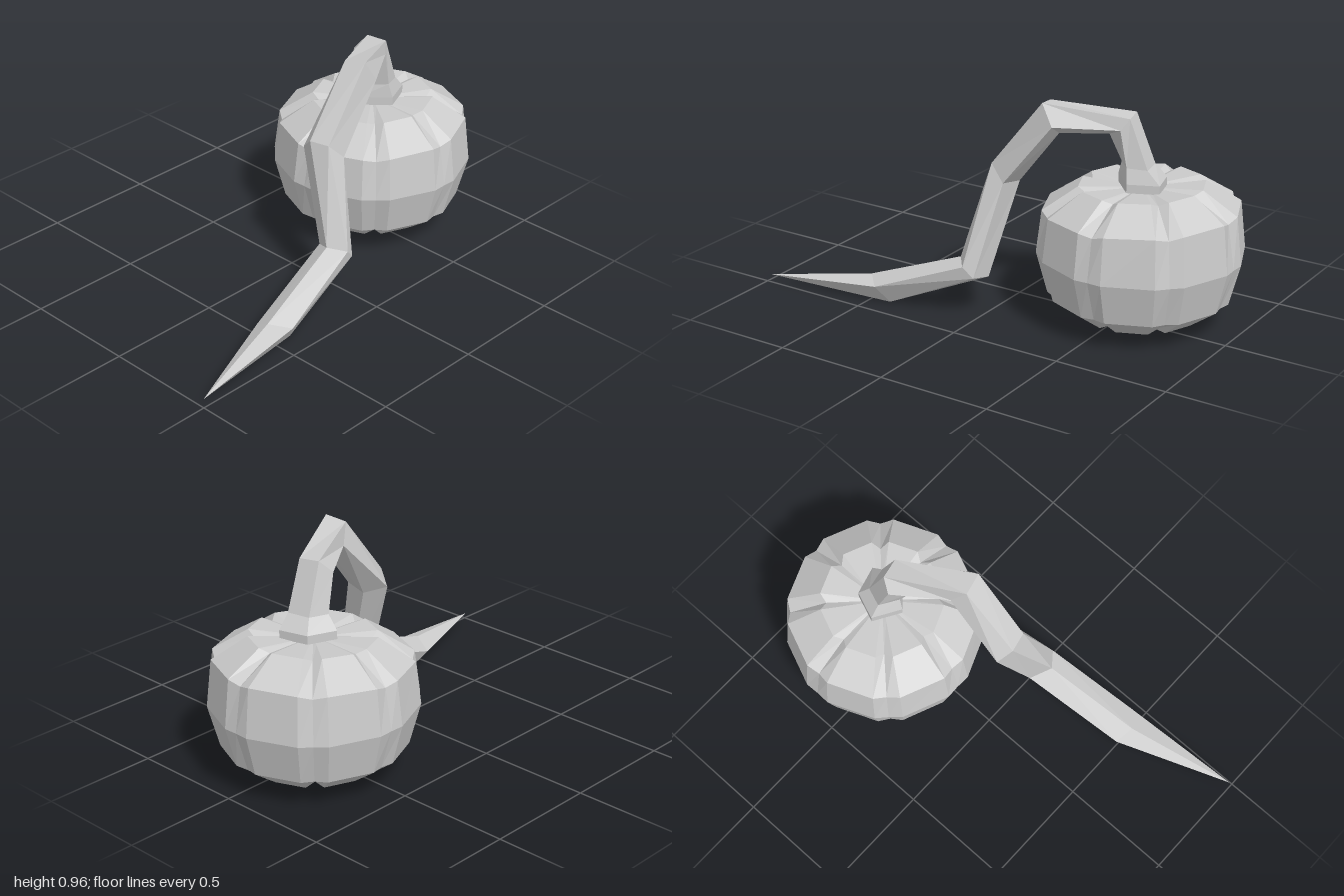
import * as THREE from 'three';

const material = new THREE.MeshStandardMaterial({ color: 0xcccccc, flatShading: true });

// Skin a list of cross-sections; each runs clockwise as seen from the end it travels towards.
// A section with a single point closes the skin.
function loft(name, sections) {
  const pos = [];
  const tri = (a, b, c) => pos.push(...a, ...b, ...c);
  for (let s = 0; s < sections.length - 1; s++) {
    const a = sections[s], b = sections[s + 1];
    const n = Math.max(a.length, b.length);
    for (let i = 0; i < n; i++) {
      const j = (i + 1) % n;
      if (b.length === 1) tri(b[0], a[j], a[i]);
      else if (a.length === 1) tri(b[i], b[j], a[0]);
      else {
        tri(b[i], b[j], a[j]);
        tri(b[i], a[j], a[i]);
      }
    }
  }
  const geo = new THREE.BufferGeometry();
  geo.setAttribute('position', new THREE.Float32BufferAttribute(pos, 3));
  geo.computeVertexNormals();
  const mesh = new THREE.Mesh(geo, material);
  mesh.name = name;
  return mesh;
}

// Pumpkin body: eight lobes, with a crease every 45 degrees
function createBody() {
  const cx = -0.055, cz = -0.565;
  // height, radius, crease radius factor, crease height offset
  const rings = [
    [0.04, 0.265, 0.88, 0.012],
    [0.13, 0.39, 0.965, 0],
    [0.31, 0.438, 0.985, 0],
    [0.505, 0.415, 0.965, -0.015],
    [0.602, 0.265, 0.9, -0.018],
    [0.592, 0.1, 0.95, -0.005],
  ];
  const sections = rings.map(([y, r, crease, drop]) => {
    const ring = [];
    for (let lobe = 0; lobe < 8; lobe++) {
      for (const side of [-1, 0, 1]) {
        const angle = THREE.MathUtils.degToRad(-lobe * 45 - side * 8);
        const rr = side === 0 ? r * crease : r;
        const z = Math.cos(angle) * rr;
        const tilt = y > 0.4 ? -0.035 * z : 0;
        ring.push([cx + Math.sin(angle) * rr, y + tilt + (side === 0 ? drop : 0), cz + z]);
      }
    }
    return ring;
  });
  // dented underside and closed top
  return loft('pumpkinBody', [[[cx, 0.1, cz]], ...sections, [[cx, 0.585, cz]]]);
}

// Five-sided stem that arches forward and tapers to a point on the ground
function createStem() {
  const flange = (y) => [[-0.157, y, -0.53], [-0.11, y, -0.65], [0.015, y, -0.685], [0.068, y, -0.56], [-0.04, y, -0.46]];
  return loft('curledStem', [
    [[-0.045, 0.595, -0.58]],
    flange(0.595),
    flange(0.632),
    [[-0.11, 0.69, -0.53], [-0.08, 0.69, -0.61], [0.02, 0.69, -0.63], [0.052, 0.695, -0.55], [-0.03, 0.69, -0.48]],
    [[-0.09, 0.85, -0.48], [-0.06, 0.903, -0.53], [0.03, 0.898, -0.55], [0.055, 0.85, -0.52], [-0.013, 0.803, -0.43]],
    [[0.06, 0.862, -0.27], [0.1, 0.943, -0.215], [0.195, 0.956, -0.235], [0.21, 0.865, -0.29], [0.135, 0.82, -0.28]],
    [[0.06, 0.6, -0.01], [0.125, 0.66, 0.02], [0.213, 0.66, 0], [0.235, 0.59, -0.07], [0.13, 0.575, -0.085]],
    [[0.212, 0.21, 0.05], [0.3, 0.25, 0.1], [0.37, 0.236, 0.045], [0.355, 0.19, 0], [0.27, 0.175, -0.02]],
    [[0.29, 0.055, 0.5], [0.37, 0.1, 0.52], [0.445, 0.08, 0.45], [0.39, 0, 0.41], [0.31, 0, 0.42]],
    [[0.488, 0.03, 0.99]],
  ]);
}

export function createModel() {
  const model = new THREE.Group();
  model.name = 'pumpkin';
  model.add(createBody(), createStem());
  return model;
}
